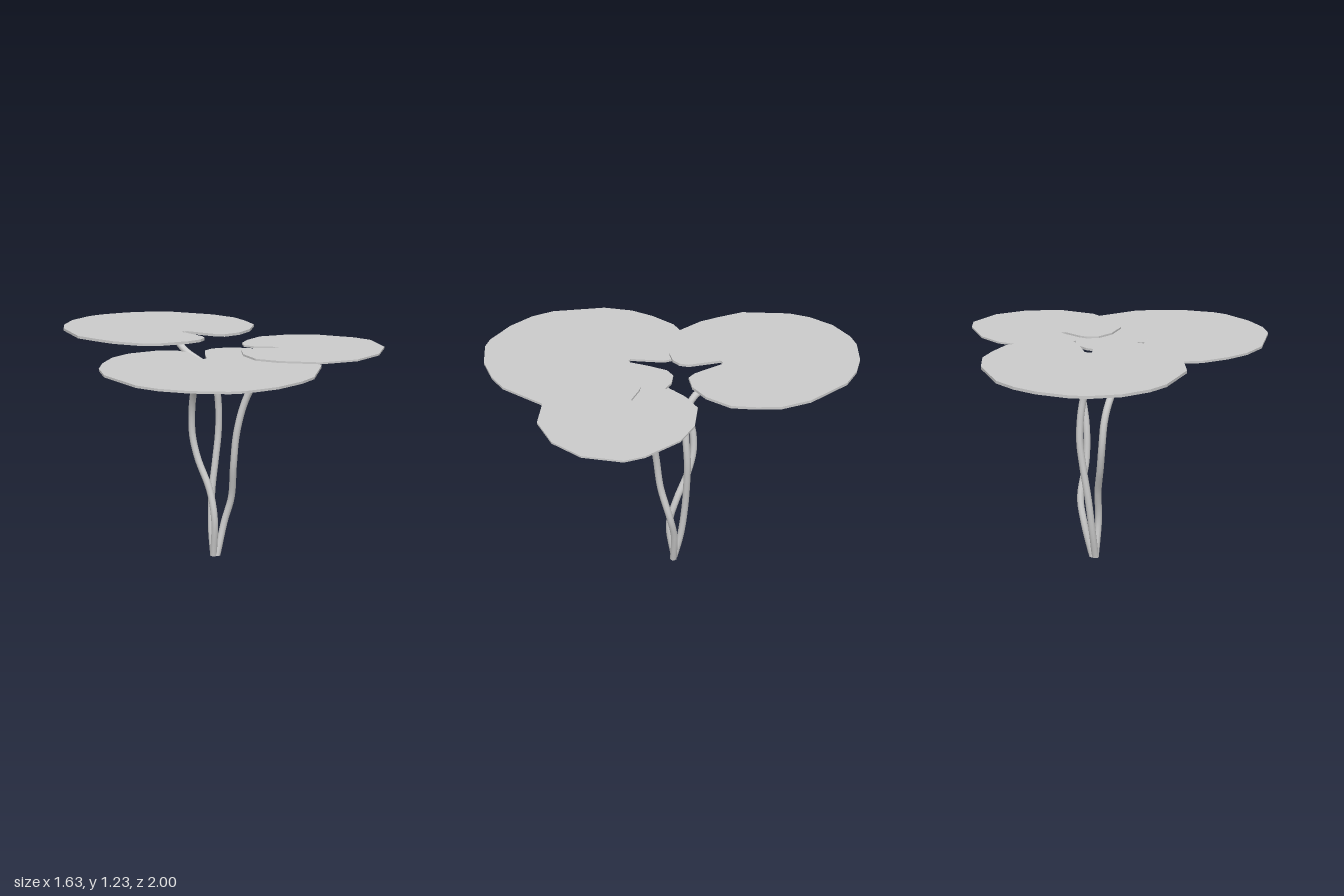
import * as THREE from 'three';

const grey = new THREE.MeshStandardMaterial({ color: 0xcccccc, side: THREE.DoubleSide });

// Flat notched pad: outline as x, z pairs, extruded upward from y
function makePad(name, y, thickness, outline) {
  const points = outline.map(([x, z]) => new THREE.Vector2(x, -z));
  const geo = new THREE.ExtrudeGeometry(new THREE.Shape(points), { depth: thickness, bevelEnabled: false });
  geo.rotateX(-Math.PI / 2);
  geo.translate(0, y, 0);
  const mesh = new THREE.Mesh(geo, grey);
  mesh.name = name;
  return mesh;
}

// Curved round stem with closed ends
function makeStem(name, path) {
  const radius = 0.019, sides = 10;
  const group = new THREE.Group();
  group.name = name;
  const curve = new THREE.CatmullRomCurve3(path.map((p) => new THREE.Vector3(...p)));
  const geo = new THREE.TubeGeometry(curve, 40, radius, sides);
  const pos = geo.attributes.position;
  for (let i = 0; i < pos.count; i++) if (pos.getY(i) < 0.012) pos.setY(i, 0);
  group.add(new THREE.Mesh(geo, grey));
  for (const t of [0, 1]) {
    const cap = new THREE.Mesh(new THREE.CircleGeometry(radius, sides), grey);
    cap.position.copy(curve.getPoint(t));
    const dir = t ? curve.getTangent(1) : new THREE.Vector3(0, -1, 0);
    cap.quaternion.setFromUnitVectors(new THREE.Vector3(0, 0, 1), dir);
    group.add(cap);
  }
  group.children.forEach((m, i) => { m.name = ['stemTube', 'stemBase', 'stemTip'][i]; });
  return group;
}

export function createModel() {
  const model = new THREE.Group();
  model.name = 'padPlant';

  // Pads
  model.add(makePad('backPad', 1.215, 0.014, [
    [-0.39, -1], [-0.26, -1], [-0.13, -0.97], [0.09, -0.82], [0.19, -0.69], [0.225, -0.57],
    [0.245, -0.44], [0.19, -0.3], [0.11, -0.21], [0.02, -0.17], [-0.03, -0.19], [-0.16, -0.305],
    [-0.18, -0.307], [-0.195, -0.29], [-0.11, -0.14], [-0.11, -0.09], [-0.14, -0.045], [-0.21, -0.01],
    [-0.37, 0.02], [-0.46, 0.005], [-0.6, -0.09], [-0.675, -0.175], [-0.765, -0.29], [-0.815, -0.545],
    [-0.8, -0.66], [-0.74, -0.8], [-0.63, -0.915], [-0.55, -0.96],
  ]));
  model.add(makePad('frontPad', 1.162, 0.012, [
    [-0.53, -0.02], [-0.63, 0.07], [-0.7, 0.21], [-0.735, 0.34], [-0.73, 0.5], [-0.615, 0.77],
    [-0.525, 0.865], [-0.39, 0.945], [-0.21, 1], [-0.13, 1], [0.04, 0.945], [0.18, 0.85],
    [0.265, 0.76], [0.375, 0.5], [0.38, 0.32], [0.32, 0.16], [0.22, 0.02], [0.09, -0.05],
    [0, -0.075], [-0.075, -0.065], [-0.12, -0.02], [-0.14, 0.08], [-0.155, 0.195], [-0.17, 0.205],
    [-0.19, 0.195], [-0.215, 0.02], [-0.26, -0.04], [-0.37, -0.07],
  ]));
  model.add(makePad('sidePad', 1.181, 0.01, [
    [0.1, -0.105], [0.15, -0.185], [0.24, -0.27], [0.415, -0.295], [0.56, -0.26], [0.74, -0.13],
    [0.805, -0.04], [0.815, 0.17], [0.73, 0.345], [0.575, 0.47], [0.37, 0.505], [0.17, 0.425],
    [0.07, 0.345], [0.035, 0.21], [0.05, 0.11], [0.1, 0.065], [0.14, 0.06], [0.25, 0.075],
    [0.265, 0.06], [0.24, 0.045], [0.14, 0.01], [0.095, -0.035],
  ]));

  // Stems, from the shared foot up to each pad's notch
  model.add(makeStem('backStem', [
    [-0.065, 0, -0.08], [-0.07, 0.16, -0.115], [-0.06, 0.36, -0.14], [-0.035, 0.55, -0.155],
    [-0.02, 0.68, -0.16], [-0.02, 0.83, -0.15], [-0.04, 0.96, -0.14], [-0.09, 1.06, -0.18],
    [-0.165, 1.115, -0.27], [-0.19, 1.14, -0.315], [-0.21, 1.172, -0.345],
  ]));
  model.add(makeStem('frontStem', [
    [-0.065, 0, -0.08], [-0.065, 0.22, -0.05], [-0.085, 0.38, -0.085], [-0.14, 0.55, -0.14],
    [-0.165, 0.68, -0.16], [-0.17, 0.82, -0.145], [-0.17, 0.92, -0.1], [-0.17, 1.01, -0.02],
    [-0.17, 1.07, 0.08], [-0.17, 1.11, 0.195], [-0.17, 1.16, 0.265],
  ]));
  model.add(makeStem('sideStem', [
    [-0.045, 0, -0.08], [0, 0.19, -0.095], [0.036, 0.33, -0.08], [0.036, 0.53, -0.025],
    [0.05, 0.72, -0.005], [0.095, 0.9, 0.01], [0.16, 1.03, 0.04], [0.25, 1.1, 0.07],
    [0.28, 1.13, 0.08], [0.3, 1.17, 0.09],
  ]));
  return model;
}
